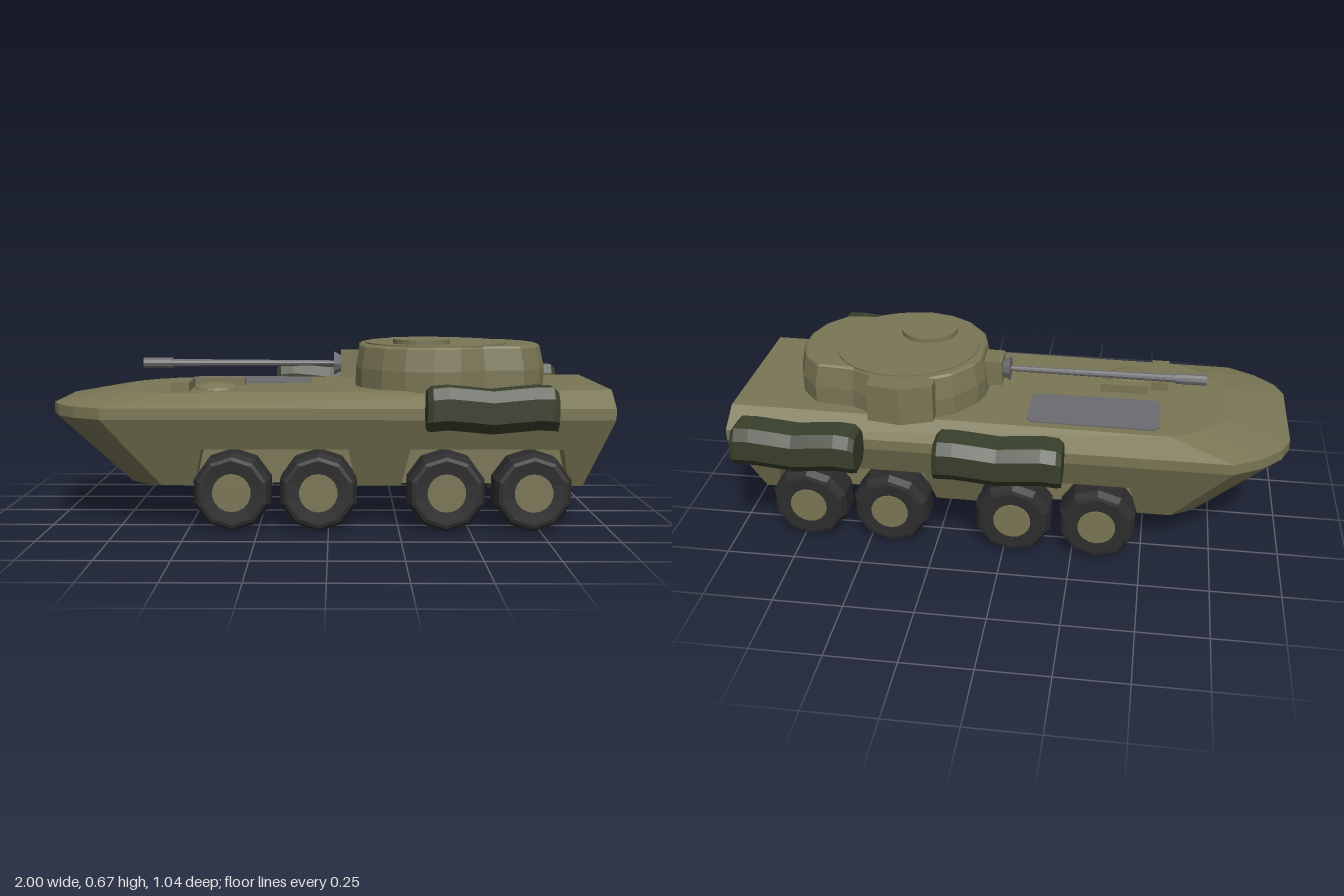
import * as THREE from 'three';

const mat = (name, color, extra = {}) => {
  const m = new THREE.MeshStandardMaterial({ color, flatShading: true, ...extra });
  m.name = name;
  return m;
};

// Skin a stack of closed loops, optionally leaving segments open, and cap the last loop
function loft(layers, { skip = [], cap = true } = {}) {
  const pos = [];
  const tri = (...p) => p.forEach(v => pos.push(...v));
  for (let k = 0; k + 1 < layers.length; k++) {
    const lo = layers[k], hi = layers[k + 1], n = lo.length;
    for (let i = 0; i < n; i++) {
      if (skip.includes(i)) continue;
      const j = (i + 1) % n;
      tri(lo[i], lo[j], hi[j]);
      tri(lo[i], hi[j], hi[i]);
    }
  }
  const top = layers[layers.length - 1];
  if (cap) for (let i = 1; i + 1 < top.length; i++) tri(top[0], top[i], top[i + 1]);
  const g = new THREE.BufferGeometry();
  g.setAttribute('position', new THREE.Float32BufferAttribute(pos, 3));
  g.computeVertexNormals();
  return g;
}

// Mirror a half outline of [x, z] into a closed loop
const mirror = half => [...half, ...half.slice().reverse().map(([x, z]) => [x, -z])];
const at = (loop, y) => loop.map(([x, z]) => [x, typeof y === 'function' ? y(x) : y, z]);

// Flat polygon whose points are then moved by a rule (x, y) -> [x, y, z]
function plate(points, rule) {
  const g = new THREE.ShapeGeometry(new THREE.Shape(points.map(p => new THREE.Vector2(...p))));
  const p = g.attributes.position;
  for (let i = 0; i < p.count; i++) p.setXYZ(i, ...rule(p.getX(i), p.getY(i)));
  g.computeVertexNormals();
  return g;
}

export function createModel() {
  const root = new THREE.Group();
  root.name = 'armoredCarrier';
  const hullPaint = mat('olive paint', 0x7a7655, { side: THREE.DoubleSide });
  const canvas = mat('dark green canvas', 0x393f2c);
  const rubber = mat('black rubber', 0x2d2d2e);
  const steel = mat('grey steel', 0x6c6c70);

  const add = (name, geo, material, x = 0, y = 0, z = 0, parent = root) => {
    const m = new THREE.Mesh(geo, material);
    m.name = name;
    m.position.set(x, y, z);
    parent.add(m);
    return m;
  };
  const box = (name, x0, x1, y0, y1, z0, z1, material = hullPaint) =>
    add(name, new THREE.BoxGeometry(x1 - x0, y1 - y0, z1 - z0), material,
      (x0 + x1) / 2, (y0 + y1) / 2, (z0 + z1) / 2);

  // Hull: floor, belt and deck outlines
  const floorHalf = [[-0.74, 0.13], [-0.72, 0.18], [-0.67, 0.23], [-0.6, 0.27], [0.91, 0.27]];
  const beltHalf = [[-1, 0.17], [-0.97, 0.24], [-0.9, 0.31], [-0.8, 0.365], [1, 0.365]];
  const deckHalf = [[-0.77, 0.12], [-0.74, 0.17], [-0.68, 0.23], [-0.58, 0.28], [1, 0.28]];
  const deckY = x => 0.483 + (x + 0.78) * 0.0085;
  const belt = mirror(beltHalf);
  add('lowerNose', loft([at(mirror(floorHalf), 0.15), at(belt, 0.4)], { skip: [3, 4, 5], cap: false }), hullPaint);
  add('upperHull', loft([at(belt, 0.4), at(belt, 0.44), at(mirror(deckHalf), deckY)], { skip: [4] }), hullPaint);

  // Lower sides and floor, notched for the wheel wells
  const wells = [[-0.48, 0.1], [0.26, 0.86]];
  const sideZ = y => 0.27 + (y - 0.15) * 0.38;
  const wellZ = 0.22;
  const sideNotches = wells.flatMap(([a, b]) => [[a, 0.15], [a + 0.03, 0.29], [b - 0.03, 0.29], [b, 0.15]]);
  const floorNotches = wells.flatMap(([a, b]) => [[a, 0.27], [a, wellZ], [b, wellZ], [b, 0.27]]);
  const sideGeo = plate([[-0.6, 0.15], ...sideNotches, [0.91, 0.15], [1, 0.4], [-0.8, 0.4]], (x, y) => [x, y, sideZ(y)]);
  const floorGeo = plate([[0.91, 0], [0.91, 0.27], ...floorNotches.slice().reverse(),
    ...floorHalf.slice(0, 4).reverse(), [-0.74, 0]], (x, y) => [x, 0.15, y]);
  for (const s of [1, -1]) {
    const half = new THREE.Group();
    half.name = s > 0 ? 'hullSideA' : 'hullSideB';
    half.scale.z = s;
    root.add(half);
    add('lowerSide', sideGeo, hullPaint, 0, 0, 0, half);
    add('floor', floorGeo, hullPaint, 0, 0, 0, half);
    for (const [a, b] of wells) {
      const pts = [[a, 0.15], [b, 0.15], [b - 0.03, 0.29], [a + 0.03, 0.29]];
      add('wheelWell', loft([pts.map(([x, y]) => [x, y, sideZ(y)]), pts.map(([x, y]) => [x, y, wellZ])],
        { skip: [0] }), hullPaint, 0, 0, 0, half);
    }
  }

  // Stern with a recessed panel
  const rearX = y => (y < 0.4 ? 0.91 + (y - 0.15) * 0.36 : 1);
  const stern = [[0.365, 0.4], [0.27, 0.15], [-0.27, 0.15], [-0.365, 0.4], [-0.365, 0.44],
    [-0.28, deckY(1)], [0.28, deckY(1)], [0.365, 0.44]];
  const inner = stern.map(([z, y]) => [z * 0.96, 0.35 + (y - 0.35) * 0.95]);
  add('stern', loft([stern.map(([z, y]) => [rearX(y), y, z]), inner.map(([z, y]) => [rearX(y), y, z]),
    inner.map(([z, y]) => [rearX(y) - 0.015, y, z])]), hullPaint);

  // Wheels
  const tyreProfile = [[0, -0.066], [0.115, -0.073], [0.128, -0.07], [0.142, -0.045],
    [0.142, 0.045], [0.128, 0.07], [0.115, 0.073], [0, 0.066]].map(p => new THREE.Vector2(...p));
  const tyreGeo = new THREE.LatheGeometry(tyreProfile, 10).rotateX(Math.PI / 2);
  const hubGeo = new THREE.CylinderGeometry(0.068, 0.068, 0.008, 18).rotateX(Math.PI / 2);
  for (const x of [-0.34, -0.035, 0.415, 0.72]) {
    for (const s of [1, -1]) {
      add('tyre', tyreGeo, rubber, x, 0.142, s * 0.298);
      add('hub', hubGeo, hullPaint, x, 0.142, s * 0.369);
    }
  }

  // Turret with rear bustle
  const turret = mirror([[0.1, 0.07], [0.12, 0.14], [0.19, 0.23], [0.27, 0.28], [0.37, 0.305],
    [0.47, 0.28], [0.56, 0.23], [0.7, 0.22], [0.77, 0.14], [0.8, 0.05]]);
  const ring = (y, s) => at(turret.map(([x, z]) => [0.42 + (x - 0.42) * s, z * s]), y);
  add('turret', loft([ring(0.485, 1), ring(0.56, 1), ring(0.638, 0.955), ring(0.645, 0.93)]), hullPaint);
  add('turretRoof', new THREE.CylinderGeometry(0.265, 0.265, 0.008, 32), hullPaint, 0.4, 0.646, 0);
  add('hatch', new THREE.CylinderGeometry(0.105, 0.105, 0.025, 24), hullPaint, 0.34, 0.654, 0.105);
  const locker = [[0.25, -0.26], [0.48, -0.26], [0.48, -0.34], [0.36, -0.36], [0.25, -0.32]];
  add('turretLocker', loft([at(locker, 0.645), at(locker, 0.505)].reverse()), hullPaint);

  // Gun and mantlet
  box('mantlet', 0.045, 0.13, 0.52, 0.615, -0.05, 0.05);
  const rod = (name, r0, r1, x0, x1, material) =>
    add(name, new THREE.CylinderGeometry(r0, r1, x1 - x0, 10).rotateZ(Math.PI / 2), material, (x0 + x1) / 2, 0.568, 0);
  rod('gunCollar', 0.045, 0.028, 0.018, 0.05, steel);
  rod('barrel', 0.015, 0.01, -0.6, 0.03, steel);
  rod('muzzle', 0.02, 0.02, -0.7, -0.59, steel);

  // Engine grille and deck fittings
  const c = 0.02;
  const grille = [[-0.54, -0.04 - c], [-0.54 + c, -0.04], [-0.07 - c, -0.04], [-0.07, -0.04 - c],
    [-0.07, -0.25 + c], [-0.07 - c, -0.25], [-0.54 + c, -0.25], [-0.54, -0.25 + c]];
  add('engineGrille', loft([at(grille, 0.484), at(grille, 0.4925)]), steel);
  box('frontVisor', -0.565, -0.5, 0.48, 0.518, 0.05, 0.235);
  box('sideVisor', -0.49, -0.315, 0.48, 0.518, 0.015, 0.05);
  const dome = add('driverHatch', new THREE.SphereGeometry(0.08, 20, 6, 0, Math.PI * 2, 0, Math.PI / 2), hullPaint, -0.41, 0.484, 0.14);
  dome.scale.y = 0.33;

  // Sagging stowage rolls: an eight-sided section swept along x
  const section = [[-1, -0.5], [-0.6, -1], [0.6, -1], [1, -0.5], [1, 0.5], [0.6, 1], [-0.6, 1], [-1, 0.5]];
  const sag = [-0.009, -0.002, 0.003, -0.004, -0.011, -0.004, 0.003, 0.002, -0.009];
  const rollLayers = sag.map((dy, i) => {
    const end = i === 0 || i === sag.length - 1, s = end ? 0.9 : 1;
    const x = -0.22 + 0.44 * [0, 0.04, 0.16, 0.34, 0.5, 0.66, 0.84, 0.96, 1][i];
    return section.map(([z, y]) => [x, y * 0.073 * s + dy, -z * 0.074 * s]);
  });
  const rollGeo = loft([rollLayers[0].map(([x]) => [x, -0.009, 0]), ...rollLayers]);
  for (const [x, z] of [[0.555, 0.447], [0, -0.449], [0.71, -0.449]]) add('stowageRoll', rollGeo, canvas, x, 0.453, z);

  return root;
}
